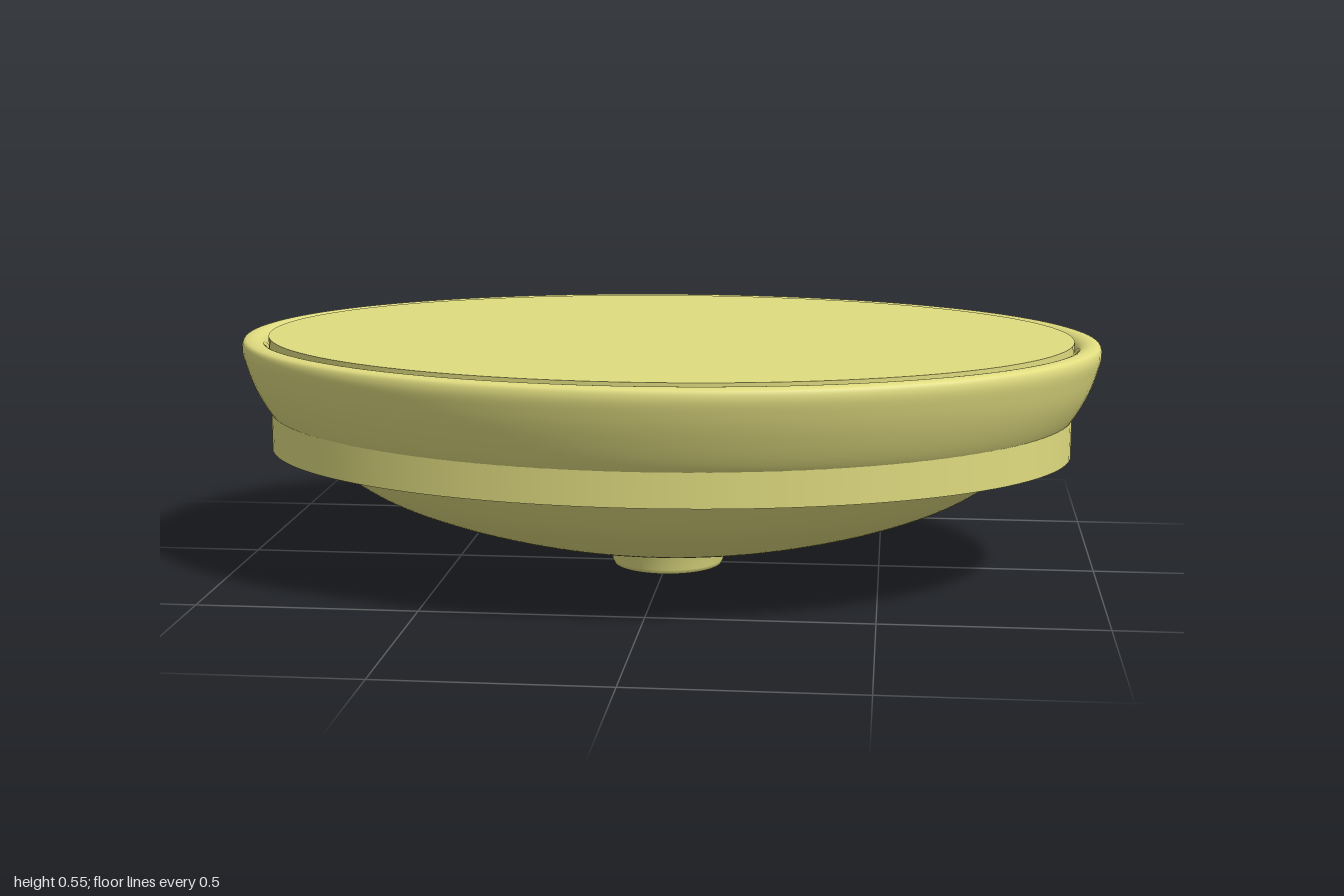
import * as THREE from 'three';

const glaze = new THREE.MeshStandardMaterial({ color: 0xe0dc80, side: THREE.DoubleSide });
const metal = new THREE.MeshStandardMaterial({ color: 0xcccccc });

// Elliptical sections as [half width x, half depth z, height y]:
// up the outside, over the rolled rim, then down the inside.
const sections = [
  [0.12, 0.12, 0.058], [0.24, 0.2, 0.061], [0.4, 0.3, 0.084], [0.58, 0.42, 0.133],
  [0.71, 0.52, 0.19], [0.84, 0.605, 0.28], [0.9, 0.64, 0.33], [0.937, 0.668, 0.37],
  [0.972, 0.695, 0.43], [0.99, 0.712, 0.48], [0.999, 0.72, 0.52], [0.995, 0.716, 0.537],
  [0.982, 0.703, 0.543], [0.963, 0.685, 0.542], [0.947, 0.669, 0.532], [0.932, 0.652, 0.5],
  [0.88, 0.61, 0.38], [0.78, 0.55, 0.28], [0.6, 0.44, 0.19], [0.4, 0.29, 0.13],
  [0.2, 0.2, 0.1], [0.085, 0.085, 0.085],
];

// Depth of the overflow slot at a point on the outer back wall
function slotDepth(x, y) {
  const d = Math.hypot(Math.max(Math.abs(x) - 0.075, 0), y - 0.46);
  return 0.05 * (1 - THREE.MathUtils.smoothstep(d, 0.016, 0.034));
}

function basinGeometry() {
  const rows = 180, cols = 200;
  const curve = new THREE.CatmullRomCurve3(
    sections.map(([rx, rz, y]) => new THREE.Vector3(rx, y, rz)), false, 'centripetal');
  const pos = [], index = [];
  for (let j = 0; j <= rows; j++) {
    const t = j / rows;
    const s = curve.getPoint(t);
    const outside = t < 11 / (sections.length - 1);
    for (let i = 0; i < cols; i++) {
      // columns are packed closer together at the back, around the slot
      const phi = (i / cols) * Math.PI * 2;
      const a = phi - 0.75 * Math.sin(phi);
      const x = s.x * Math.sin(a);
      let z = -s.z * Math.cos(a);
      if (outside && z < 0) z += slotDepth(x, s.y);
      pos.push(x, s.y, z);
      if (j < rows) {
        const k = (i + 1) % cols;
        const p = j * cols + i, q = j * cols + k;
        index.push(p, p + cols, q, q, p + cols, q + cols);
      }
    }
  }
  const geo = new THREE.BufferGeometry();
  geo.setAttribute('position', new THREE.Float32BufferAttribute(pos, 3));
  geo.setIndex(index);
  geo.computeVertexNormals();
  return geo;
}

function add(group, name, geo, material) {
  const mesh = new THREE.Mesh(geo, material);
  mesh.name = name;
  group.add(mesh);
  return mesh;
}

export function createModel() {
  const group = new THREE.Group();
  group.name = 'washbasin';

  // Bowl shell with rolled rim and overflow slot
  add(group, 'basin', basinGeometry(), glaze);

  // Solid elliptical insert filling the mouth and forming the lower collar
  const insert = new THREE.CylinderGeometry(1, 1, 0.266, 128);
  insert.scale(0.937, 1, 0.66);
  insert.translate(0, 0.28 + 0.133, 0);
  add(group, 'cutoutInsert', insert, glaze);

  // Drain collar with a rounded bore
  const collar = [
    [0.085, 0.085], [0.082, 0.05], [0.086, 0.02], [0.095, 0.004], [0.105, 0],
    [0.128, 0], [0.132, 0.01], [0.138, 0.045], [0.145, 0.054], [0.165, 0.06],
  ].map(([r, y]) => new THREE.Vector2(r, y));
  add(group, 'drainCollar', new THREE.LatheGeometry(collar, 64), glaze);

  // Stopper closing the bore from above
  const stopper = new THREE.CylinderGeometry(0.084, 0.084, 0.01, 48);
  stopper.translate(0, 0.08, 0);
  add(group, 'drainStopper', stopper, metal);

  return group;
}
